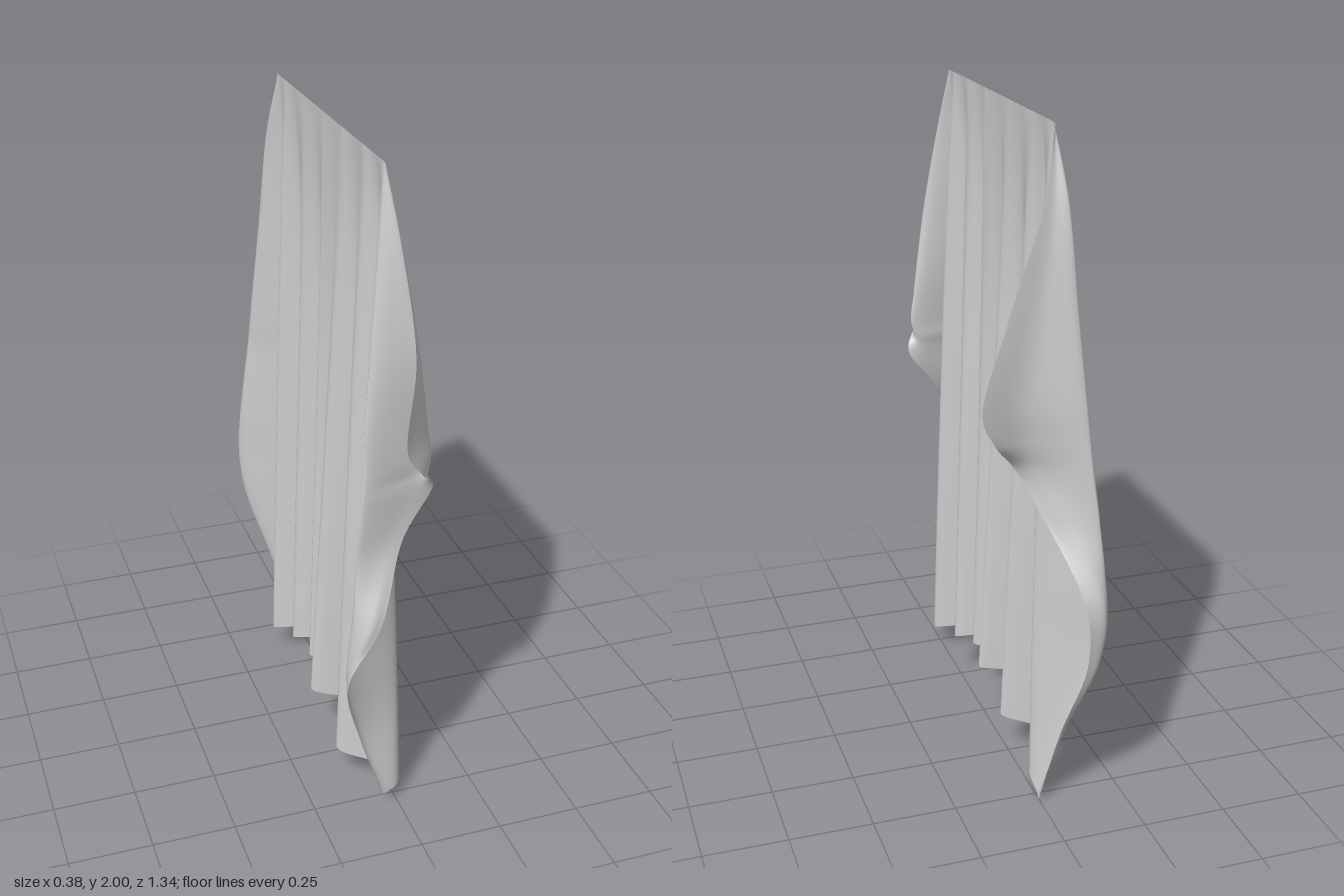
import * as THREE from 'three';

// Nominal heights of the key rows, from the hanging edge to the hem
const HEIGHTS = [2, 1.8, 1.5, 1.25, 1.15, 1.06, 0.92, 0.7, 0.5, 0.25, 0];

// Plan position [x, z] at every key row for the tracks of each loose end:
// free edge, inner fold and outer fold
const FRONT_END = [
  [[-.05, .5], [-.03, .57], [-.01, .64], [-.04, .67], [.02, .63], [.085, .545],
    [-.01, .57], [-.10, .655], [-.19, .635], [-.13, .57], [-.05, .55]],
  [[-.05, .495], [-.025, .55], [.02, .575], [.06, .555], [.07, .55], [.03, .55],
    [-.05, .58], [-.135, .655], [-.187, .615], [-.13, .555], [-.045, .545]],
  [[-.05, .49], [-.07, .51], [-.10, .54], [-.125, .57], [-.13, .58], [-.14, .59],
    [-.155, .6], [-.17, .605], [-.178, .585], [-.115, .54], [-.035, .54]],
];
const BACK_END = [
  [[-.05, -.44], [-.07, -.51], [-.09, -.55], [-.11, -.58], [-.118, -.59], [-.125, -.6],
    [-.14, -.61], [-.155, -.63], [-.14, -.61], [-.07, -.555], [-.005, -.51]],
  [[-.05, -.445], [-.03, -.505], [.02, -.535], [.06, -.54], [.05, -.53], [.01, -.525],
    [-.06, -.58], [-.135, -.668], [-.135, -.645], [-.06, -.575], [0, -.52]],
  [[-.05, -.45], [0, -.51], [.11, -.545], [.185, -.56], [.14, -.54], [.07, -.49],
    [0, -.54], [-.08, -.665], [-.1, -.65], [-.045, -.585], [0, -.53]],
];

// Pleats at the hem, two points to each rounded crest: [x, y, z]
const PLEATS = [
  [.005, .05, .525], [.022, .065, .48],
  [-.135, .105, .37], [-.10, .12, .315],
  [-.01, .13, .295], [.02, .15, .24],
  [-.15, .185, .16], [-.125, .195, .122],
  [-.015, .2, .12], [.005, .2, .09],
  [-.08, .2, .02], [-.105, .2, -.005],
  [.01, .2, -.035], [.035, .2, -.06],
  [-.10, .19, -.125], [-.115, .175, -.155],
  [-.01, .15, -.215], [.025, .135, -.25],
  [-.09, .105, -.32], [-.125, .09, -.36],
  [-.02, .07, -.42], [.005, .05, -.46],
];

const curve = (points) => new THREE.CatmullRomCurve3(points, false, 'centripetal');

// A loose-end track follows its key positions
function endTrack(keys, hem) {
  return curve(keys.map(([x, z], i) =>
    new THREE.Vector3(x, 2 - (2 - HEIGHTS[i]) * (2 - hem) / 2, z)));
}

// A pleat track deepens from the straight top edge to the hem; outer pleats
// spread and start early, middle ones draw together and start late
function pleatTrack([x, y, z]) {
  const topZ = z * (1.3 - 0.85 * Math.abs(z));
  const onset = 1.15 - Math.abs(z);
  return curve(HEIGHTS.map((h) => {
    const t = (2 - h) / 2;
    return new THREE.Vector3(
      -.05 + (x + .05) * Math.pow(t, onset), 2 - t * (2 - y), topZ + (z - topZ) * t);
  }));
}

// Cloth surface: each row is a smooth curve through all tracks
function clothGeometry(tracks, rows, perSpan) {
  const columns = (tracks.length - 1) * perSpan;
  const positions = [], indices = [];
  for (let r = 0; r <= rows; r++) {
    const section = curve(tracks.map((track) => track.getPoint(r / rows)));
    for (let c = 0; c <= columns; c++) {
      const p = section.getPoint(c / columns);
      positions.push(p.x, Math.min(2, Math.max(0, p.y)), p.z);
      if (r < rows && c < columns) {
        const a = r * (columns + 1) + c, b = a + columns + 1;
        indices.push(a, a + 1, b, a + 1, b + 1, b);
      }
    }
  }
  const geometry = new THREE.BufferGeometry();
  geometry.setAttribute('position', new THREE.Float32BufferAttribute(positions, 3));
  geometry.setIndex(indices);
  geometry.computeVertexNormals();
  return geometry;
}

export function createModel() {
  const group = new THREE.Group();
  group.name = 'hangingCloth';
  const fabric = new THREE.MeshStandardMaterial({ color: 0xcccccc, side: THREE.DoubleSide });
  fabric.name = 'light grey fabric';

  const tracks = [
    ...FRONT_END.map((keys) => endTrack(keys, 0.04)),
    ...PLEATS.map(pleatTrack),
    ...BACK_END.map((keys) => endTrack(keys, 0)),
  ];
  const cloth = new THREE.Mesh(clothGeometry(tracks, 100, 8), fabric);
  cloth.name = 'pleatedCloth';
  group.add(cloth);
  return group;
}
